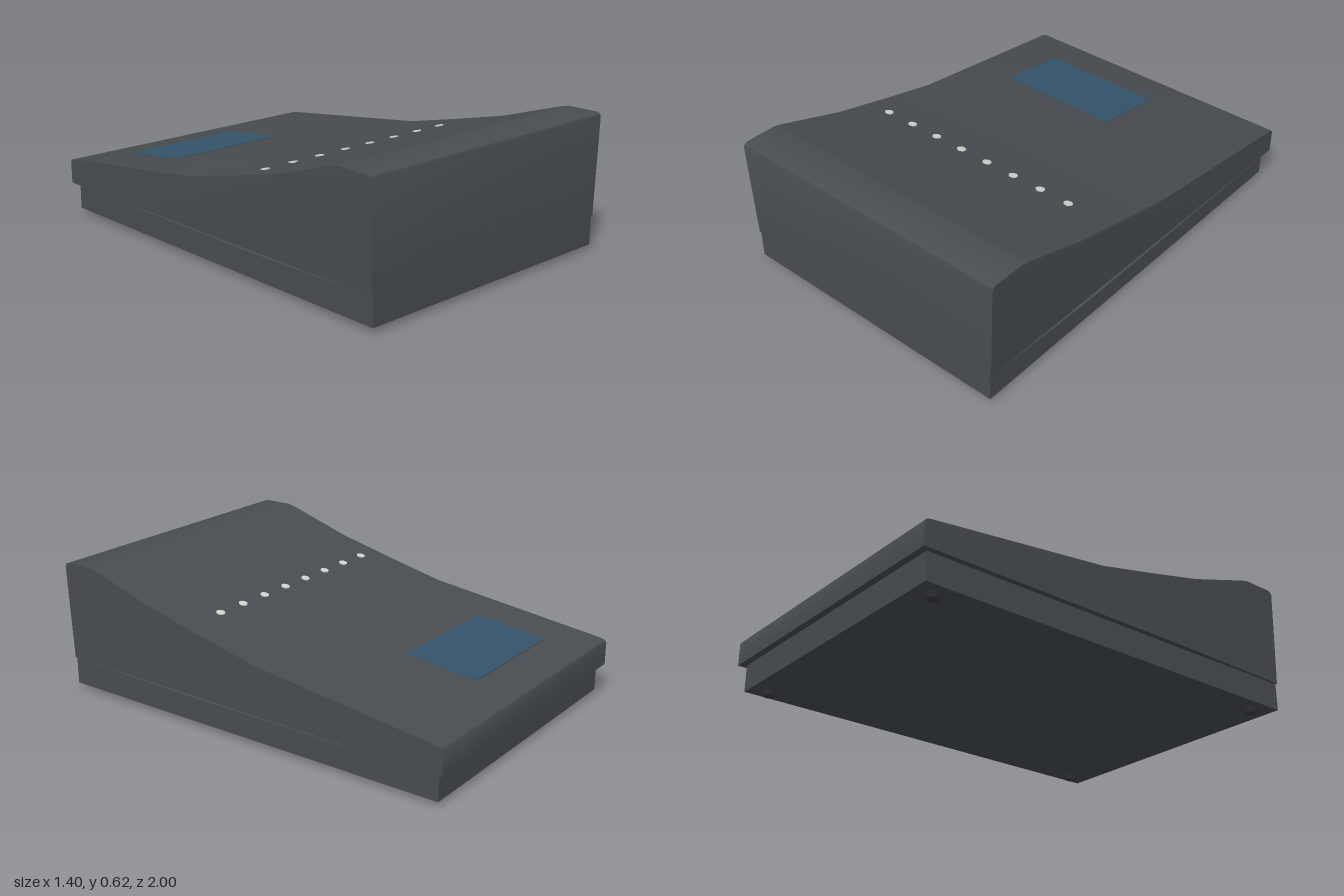
import * as THREE from 'three';
import { toCreasedNormals } from 'three/addons/utils/BufferGeometryUtils.js';

const paint = (name, color) => {
  const m = new THREE.MeshStandardMaterial({ color });
  m.name = name;
  return m;
};

export function createModel() {
  const group = new THREE.Group();
  const grey = paint('casing grey', 0x484d51);
  const blue = paint('display blue', 0x35536a);
  const white = paint('button white', 0xd2d4d0);
  const rubber = paint('rubber grey', 0x3c4045);

  const add = (name, geometry, material, x = 0, y = 0, z = 0) => {
    const mesh = new THREE.Mesh(geometry, material);
    mesh.name = name;
    mesh.position.set(x, y, z);
    group.add(mesh);
    return mesh;
  };

  // Upper casing: side profile as (z, y), extruded across the width
  const profile = [
    [1, 0.15], [1, 0.595], [0.995, 0.608], [0.98, 0.615], [0.83, 0.615], [0.79, 0.605],
    [0.47, 0.505], [0.18, 0.437], [-0.1, 0.375], [-0.975, 0.268], [-0.993, 0.262],
    [-1, 0.25], [-1, 0.147], [0.35, 0.147],
  ].map(([z, y]) => new THREE.Vector2(z, y));
  let casing = new THREE.ExtrudeGeometry(new THREE.Shape(profile), { depth: 1.4, bevelEnabled: false });
  casing.translate(0, 0, -0.7);
  casing.rotateY(-Math.PI / 2);
  // The side walls draw in towards the lower front corners
  const pos = casing.attributes.position;
  for (let i = 0; i < pos.count; i++) {
    if (pos.getZ(i) > 0.999 && pos.getY(i) < 0.2) pos.setX(i, pos.getX(i) * 0.976);
  }
  casing = toCreasedNormals(casing, 0.6);
  add('upperCasing', casing, grey);

  // Recessed base tray
  add('baseTray', new THREE.BoxGeometry(1.35, 0.135, 1.969), grey, 0, 0.0895, 0.0145);

  // Display on the rear slope
  const rearSlope = Math.atan2(0.107, 0.875);
  const display = add('display', new THREE.BoxGeometry(0.6, 0.006, 0.343), blue, -0.177, 0.3105, -0.63);
  display.rotation.x = -rearSlope;

  // Row of indicator buttons on the middle slope
  const buttonGeometry = new THREE.CylinderGeometry(0.02, 0.02, 0.008, 12);
  for (let i = 0; i < 8; i++) {
    const button = add('button', buttonGeometry, white, -0.575 + i * 0.15, 0.461, 0.28);
    button.rotation.x = -Math.atan2(0.068, 0.29);
  }

  // Tapered feet
  const footGeometry = new THREE.CylinderGeometry(0.04, 0.027, 0.024, 16);
  for (const x of [-0.605, 0.605]) {
    for (const z of [0.888, -0.885]) add('foot', footGeometry, rubber, x, 0.012, z);
  }
  return group;
}
